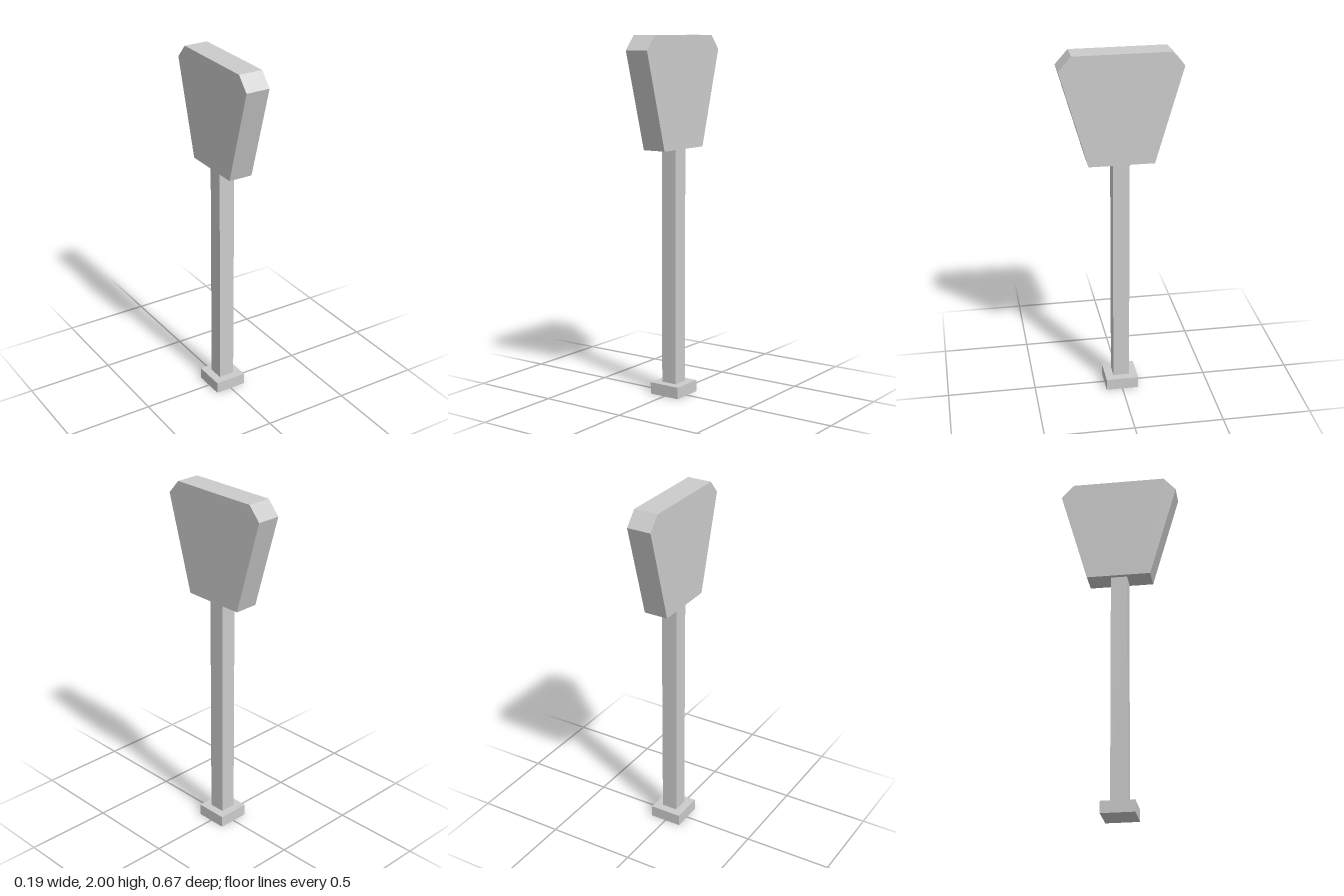
import * as THREE from 'three';

const material = new THREE.MeshStandardMaterial({ color: 0xcccccc, flatShading: true });

// Square block standing on height y0, centred on the axis
function squareBlock(name, width, y0, y1) {
  const geometry = new THREE.BoxGeometry(width, y1 - y0, width);
  geometry.translate(0, (y0 + y1) / 2, 0);
  const mesh = new THREE.Mesh(geometry, material);
  mesh.name = name;
  return mesh;
}

// Tapered head with clipped top corners, extruded across x
function createHead() {
  const thickness = 0.138;
  const half = [[0.18, 1.386], [0.334, 1.922], [0.265, 2]]; // z, y from bottom to top
  const mirrored = half.map(([z, y]) => [-z, y]).reverse();
  const outline = [...half, ...mirrored].map(([z, y]) => new THREE.Vector2(z, y));
  const geometry = new THREE.ExtrudeGeometry(new THREE.Shape(outline), {
    depth: thickness,
    bevelEnabled: false,
  });
  geometry.translate(0, 0, -thickness / 2);
  geometry.rotateY(-Math.PI / 2);
  const mesh = new THREE.Mesh(geometry, material);
  mesh.name = 'head';
  return mesh;
}

export function createModel() {
  const model = new THREE.Group();
  model.name = 'postWithHead';
  model.add(
    squareBlock('base', 0.185, 0, 0.066),
    squareBlock('post', 0.092, 0.066, 1.386),
    createHead(),
  );
  return model;
}
